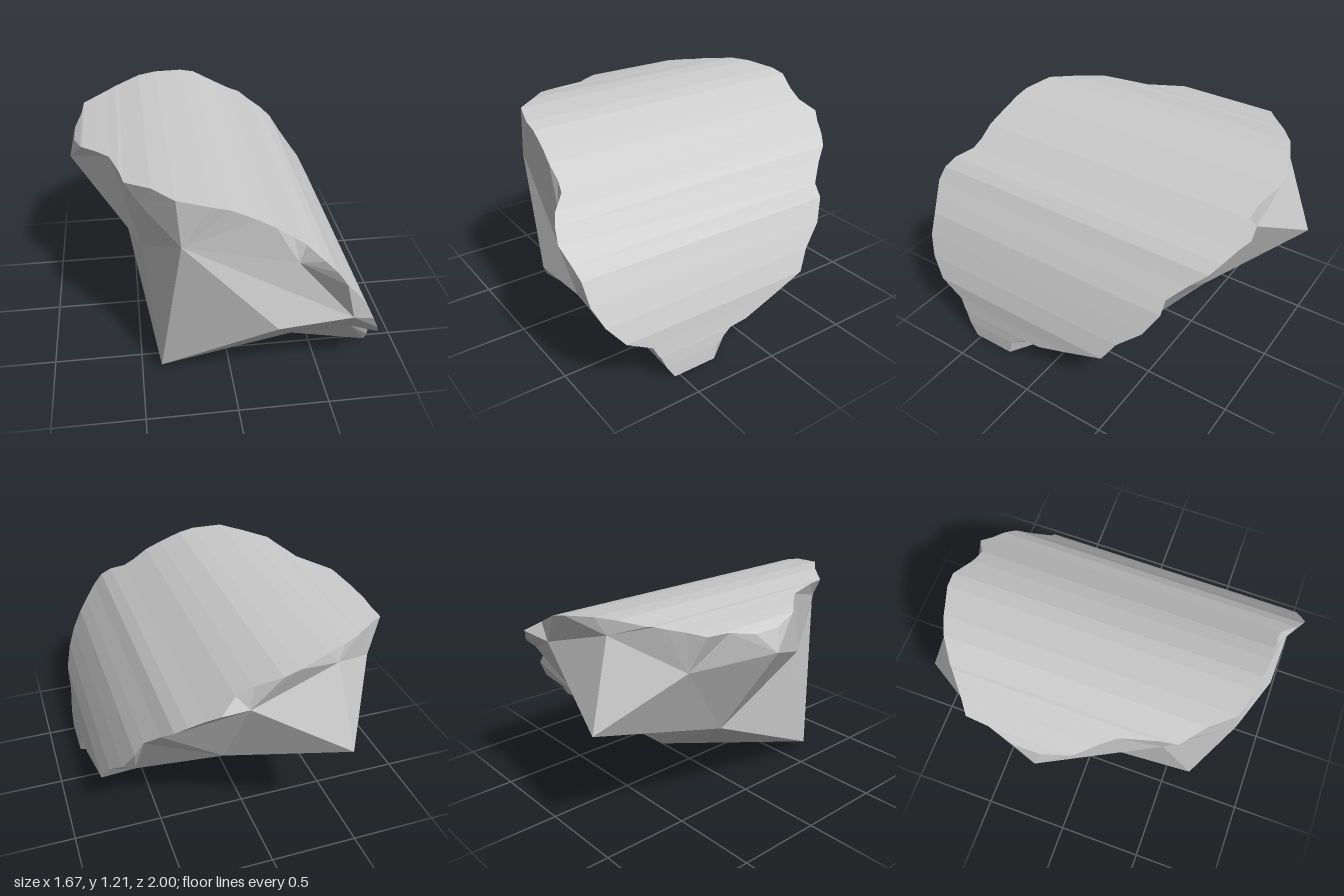
import * as THREE from 'three';

// Curved outer shell: x, y, front edge z, back edge z at each band
const SHELL = [
  [-0.8, 1.12, -0.12, -0.28], [-0.76, 1.15, 0.03, -0.42], [-0.75, 1.155, 0.05, -0.55],
  [-0.67, 1.17, 0.14, -0.61], [-0.6, 1.18, 0.23, -0.67], [-0.55, 1.19, 0.42, -0.71],
  [-0.53, 1.19, 0.53, -0.73], [-0.4, 1.21, 0.64, -0.82], [-0.29, 1.21, 0.77, -0.87],
  [-0.12, 1.19, 0.82, -0.93], [-0.03, 1.17, 0.825, -0.94], [0.1, 1.115, 0.84, -0.89],
  [0.19, 1.07, 0.855, -0.88], [0.28, 1.01, 0.855, -0.94], [0.34, 0.97, 0.87, -0.9],
  [0.42, 0.92, 0.95, -0.86], [0.48, 0.87, 0.985, -0.82], [0.53, 0.8, 1.0, -0.74],
  [0.6, 0.71, 0.97, -0.65], [0.65, 0.64, 0.95, -0.65], [0.71, 0.52, 0.94, -0.58],
  [0.76, 0.41, 0.89, -0.45], [0.8, 0.3, 0.8, -0.38], [0.81, 0.22, 0.65, -0.15],
  [0.82, 0.16, 0.62, 0.04], [0.822, 0.15, 0.61, 0.15], [0.83, 0.08, 0.58, 0.25],
  [0.835, 0, 0.53, 0.27],
];

// Corners of the broken inner side
const CORNER = {
  A: [-0.39, 0.05, 0.65], B: [-0.27, 0.95, 0.79], C: [0.21, 0.5, 0.94], D: [0.6, 0.545, 0.95],
  E: [0.39, 0.07, 0.5], F: [0.69, 0.245, 0.68], G: [-0.46, 0.75, 0.45], H: [-0.55, 0.51, -0.26],
  J: [0.11, 0.11, -0.13], K: [-0.42, 0.66, -1.0], L: [-0.36, 1.13, -0.85], M: [0.17, 0.51, -0.65],
  N: [0.116, 0.98, -0.895], O: [0.7, 0.16, 0.01], P: [0.61, 0.34, -0.41], Q: [-0.67, 0.96, -0.6],
  R: [-0.835, 1.0, -0.15], S: [0.31, 0.87, 0.88], T: [-0.46, 1.08, 0.56],
};
const RING = [...'RGTBSDFEOPMNLQ'];
const FACETS = ('GRH BTG BGA AGH BAC BCD DSB CAE CEF DCF EAJ OEJ POJ MPJ MJH AHJ '
  + 'KMH NMK LNK QLK QKH RQH').split(' ');

function facetMesh(name, triangles) {
  const geometry = new THREE.BufferGeometry();
  geometry.setAttribute('position', new THREE.Float32BufferAttribute(triangles.flat(2), 3));
  geometry.computeVertexNormals();
  const mesh = new THREE.Mesh(geometry,
    new THREE.MeshStandardMaterial({ color: 0xcccccc, flatShading: true, side: THREE.DoubleSide }));
  mesh.name = name;
  return mesh;
}

// Stitch two closed loops, always taking the shorter diagonal
function stitch(rim, ring) {
  const gap = (a, b) => Math.hypot(a[0] - b[0], a[1] - b[1], a[2] - b[2]);
  const triangles = [];
  const n = rim.length, m = ring.length;
  let i = 0, j = 0;
  while (i < n || j < m) {
    const p = rim[i % n], p2 = rim[(i + 1) % n];
    const q = ring[j % m], q2 = ring[(j + 1) % m];
    if (j === m || (i < n && gap(p2, q) <= gap(p, q2))) {
      triangles.push([p2, p, q]);
      i++;
    } else {
      triangles.push([p, q, q2]);
      j++;
    }
  }
  return triangles;
}

export function createModel() {
  const group = new THREE.Group();
  group.name = 'rockFragment';
  const front = SHELL.map(([x, y, z]) => [x, y, z]);
  const back = SHELL.map(([x, y, , z]) => [x, y, z]);

  // Smoothly bowed outer face
  const shell = [];
  for (let i = 0; i + 1 < SHELL.length; i++) {
    shell.push([front[i], front[i + 1], back[i + 1]], [front[i], back[i + 1], back[i]]);
  }
  group.add(facetMesh('curvedOuterFace', shell));

  // Chipped band between the outer face and the inner corners
  const rim = [...front, ...back.slice().reverse()];
  group.add(facetMesh('chippedRim', stitch(rim, RING.map((k) => CORNER[k]))));

  // Large broken facets
  group.add(facetMesh('brokenFacets', FACETS.map((f) => [...f].map((k) => CORNER[k]))));
  return group;
}
